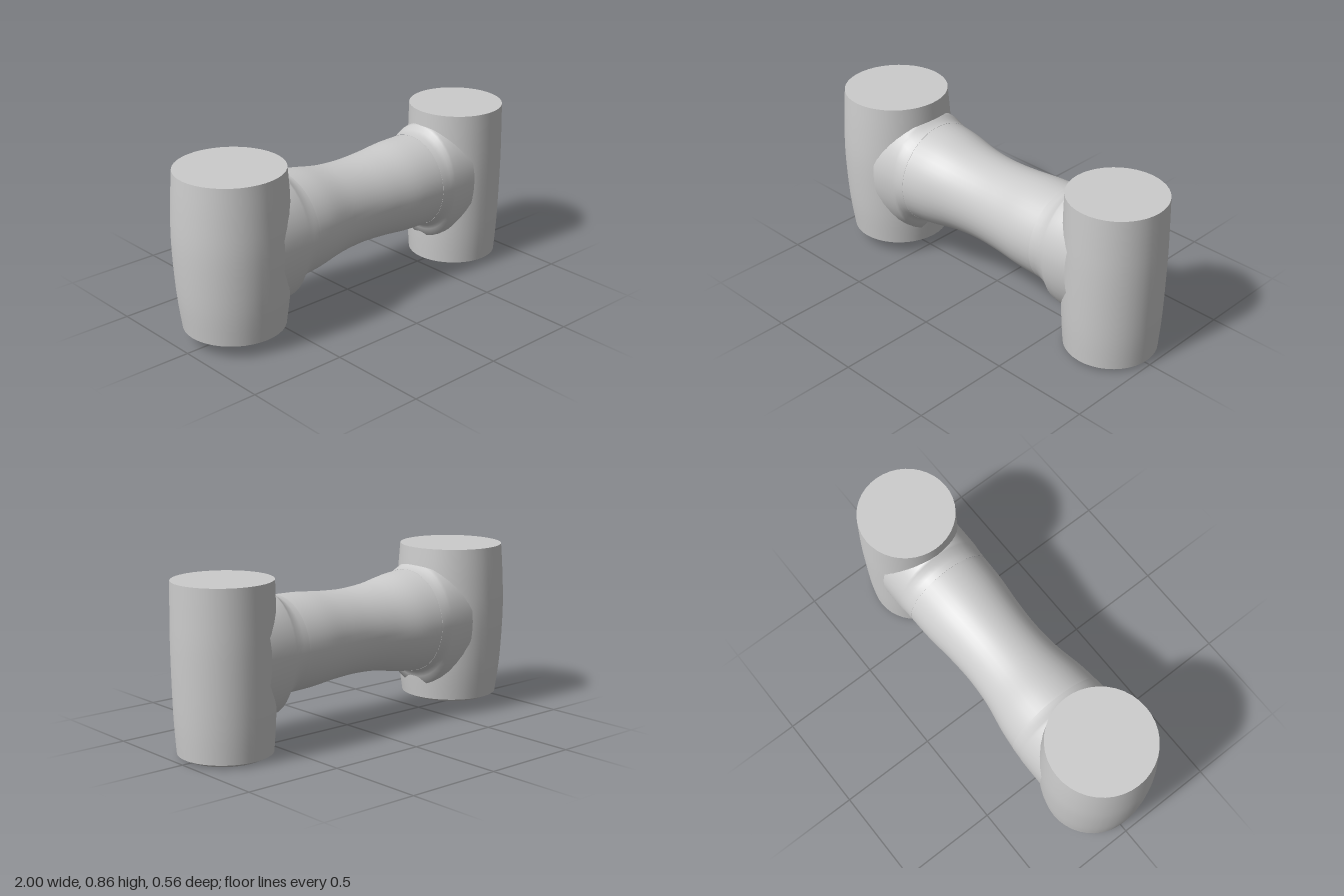
import * as THREE from 'three';

const material = new THREE.MeshStandardMaterial({ color: 0xcccccc });
const flatMaterial = new THREE.MeshStandardMaterial({ color: 0xcccccc, flatShading: true });
const AXIS_Y = 0.483;
const SEGMENTS = 40;

function addMesh(parent, name, geometry, mat = material) {
  const mesh = new THREE.Mesh(geometry, mat);
  mesh.name = name;
  parent.add(mesh);
  return mesh;
}

const points = (list) => list.map(([r, y]) => new THREE.Vector2(r, y));

// Skin over rings along x; each ring is [x, height above axis, depth below axis, half width in z]
function loft(rings) {
  const positions = [], index = [];
  rings.forEach(([x, up, down, side], i) => {
    for (let j = 0; j < SEGMENTS; j++) {
      const a = (j / SEGMENTS) * Math.PI * 2, c = Math.cos(a);
      positions.push(x, AXIS_Y + c * (c > 0 ? up : down), Math.sin(a) * side);
      if (i === rings.length - 1) continue;
      const p = i * SEGMENTS + j, q = i * SEGMENTS + (j + 1) % SEGMENTS;
      index.push(p, q, p + SEGMENTS, q, q + SEGMENTS, p + SEGMENTS);
    }
  });
  const geometry = new THREE.BufferGeometry();
  geometry.setAttribute('position', new THREE.Float32BufferAttribute(positions, 3));
  geometry.setIndex(index);
  geometry.computeVertexNormals();
  return geometry;
}

// Barrel-sided post with a flat top and a bevelled, slightly hollow underside
function createPost(name, x, bottom, top, rBottom, rMiddle, rTop) {
  const post = new THREE.Group();
  post.name = name;
  post.position.x = x;
  const middle = 0.5;
  const rLow = rBottom + (rMiddle - rBottom) * 0.65;
  const rHigh = rTop + (rMiddle - rTop) * 0.65;
  const profile = new THREE.SplineCurve(points([
    [rBottom, bottom + 0.018], [rLow, bottom + 0.2], [rMiddle, middle],
    [rHigh, middle + (top - middle) * 0.55], [rTop, top],
  ]));
  addMesh(post, 'postSide', new THREE.LatheGeometry(profile.getPoints(16), SEGMENTS));

  const cap = addMesh(post, 'postTop', new THREE.CircleGeometry(rTop, SEGMENTS));
  cap.rotation.x = -Math.PI / 2;
  cap.position.y = top;

  addMesh(post, 'postUnderside', new THREE.LatheGeometry(points([
    [0, bottom + 0.015], [rBottom * 0.72, bottom + 0.015],
    [rBottom * 0.84, bottom], [rBottom, bottom + 0.018],
  ]), SEGMENTS), flatMaterial);
  return post;
}

export function createModel() {
  const model = new THREE.Group();
  model.name = 'doublePostBar';

  model.add(createPost('rightPost', -0.72, 0.05, 0.855, 0.247, 0.28, 0.263));
  model.add(createPost('leftPost', 0.755, 0, 0.833, 0.228, 0.245, 0.24));

  // Waisted crossbar, round in section
  const waist = new THREE.SplineCurve(points([
    [-0.405, 0.262], [-0.3, 0.25], [-0.15, 0.223], [0, 0.213],
    [0.15, 0.219], [0.3, 0.233], [0.435, 0.237],
  ]));
  addMesh(model, 'crossbar', loft(waist.getPoints(30).map(({ x, y: r }) => [x, r, r, r])));

  // Flared collars blending the crossbar into the posts
  addMesh(model, 'rightCollar', loft([
    [-0.62, 0.31, 0.37, 0.266], [-0.53, 0.305, 0.365, 0.266], [-0.475, 0.298, 0.35, 0.266],
    [-0.46, 0.288, 0.305, 0.265], [-0.44, 0.274, 0.277, 0.265],
    [-0.42, 0.266, 0.267, 0.264], [-0.405, 0.263, 0.263, 0.263],
  ]));
  addMesh(model, 'leftCollar', loft([
    [0.435, 0.238, 0.238, 0.238], [0.465, 0.241, 0.242, 0.238], [0.49, 0.251, 0.262, 0.239],
    [0.51, 0.272, 0.288, 0.24], [0.522, 0.28, 0.33, 0.24],
    [0.57, 0.285, 0.345, 0.24], [0.66, 0.285, 0.345, 0.24],
  ]));

  return model;
}
